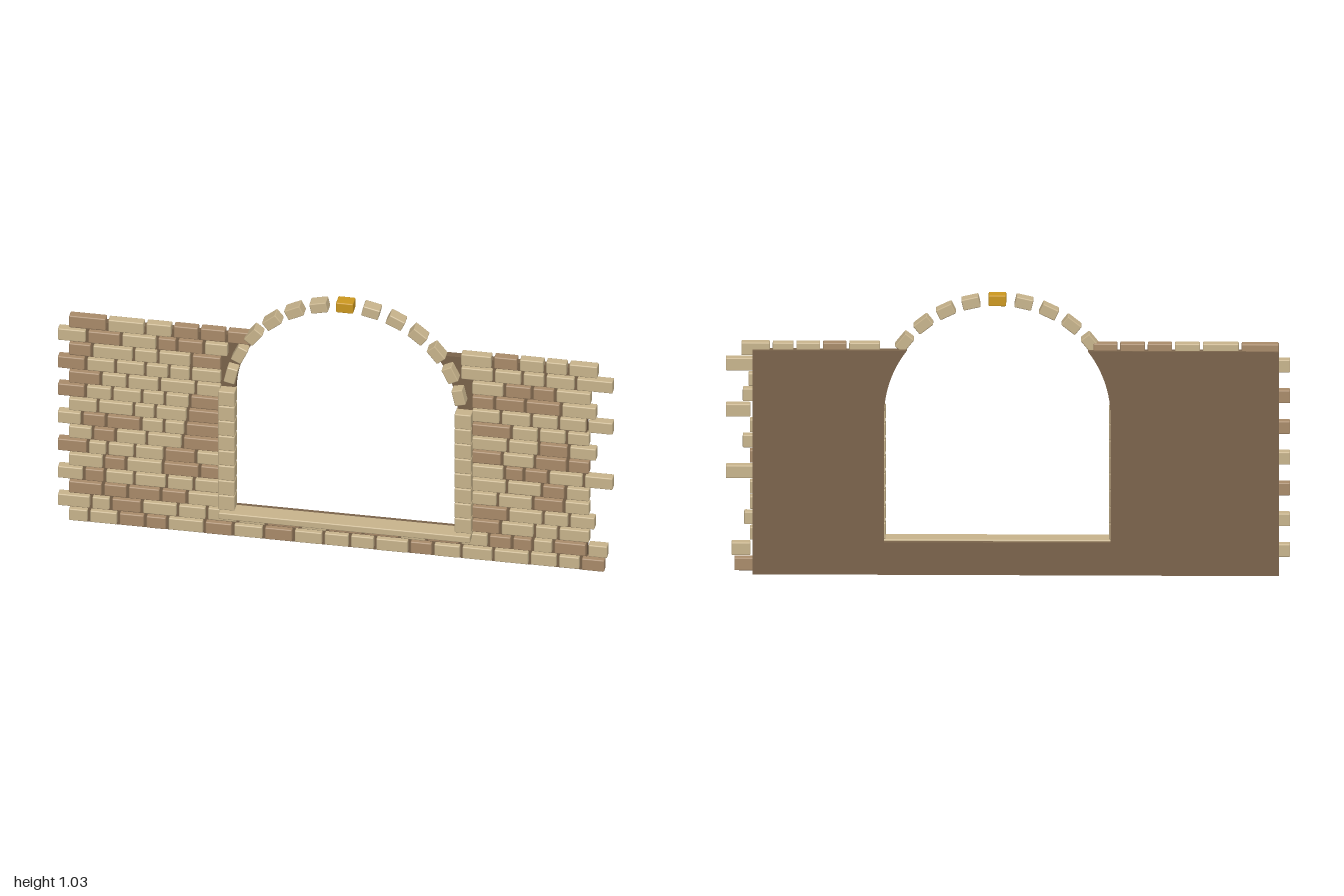
import * as THREE from 'three';
import { RoundedBoxGeometry } from 'three/addons/geometries/RoundedBoxGeometry.js';

const mat = (name, color) => {
  const m = new THREE.MeshStandardMaterial({ color });
  m.name = name;
  return m;
};

export function createModel() {
  const group = new THREE.Group();
  group.name = 'archedWall';
  const tan = mat('tanStone', 0xc8b48c);
  const brown = mat('brownStone', 0xa98b6a);
  const mortar = mat('mortar', 0x7a634b);
  const gold = mat('goldStone', 0xcc981f);

  // Seeded number generator
  let seed = 11;
  const rand = () => {
    seed = (seed * 16807) % 2147483647;
    return seed / 2147483647;
  };

  // Stone block with softened edges
  const block = (name, w, h, d, x, y, z, material, parent = group) => {
    const mesh = new THREE.Mesh(new RoundedBoxGeometry(w, h, d, 1, 0.004), material);
    mesh.name = name;
    mesh.position.set(x, y, z);
    parent.add(mesh);
    return mesh;
  };

  // Opening: centre line, springing height and radius
  const CX = 0.035, SPRING = 0.59, R = 0.4, SILL = 0.12;

  // Backing panel with the arched opening cut through its top edge
  const TOP = 0.83;
  const a = Math.asin((TOP - SPRING) / R);
  const dx = R * Math.cos(a);
  const s = new THREE.Shape();
  s.moveTo(-0.96, 0);
  s.lineTo(0.9, 0);
  s.lineTo(0.9, TOP);
  s.lineTo(CX + dx, TOP);
  s.absarc(CX, SPRING, R, a, 0, true);
  s.lineTo(CX + R, SILL);
  s.lineTo(CX - R, SILL);
  s.lineTo(CX - R, SPRING);
  s.absarc(CX, SPRING, R, Math.PI, Math.PI - a, true);
  s.lineTo(-0.96, TOP);
  const panel = new THREE.Mesh(
    new THREE.ExtrudeGeometry(s, { depth: 0.028, bevelEnabled: false, curveSegments: 16 }), mortar);
  panel.name = 'backingPanel';
  panel.position.z = -0.043;
  group.add(panel);

  // Brick courses with toothed ends
  const bricks = new THREE.Group();
  bricks.name = 'bricks';
  group.add(bricks);
  const layRun = (x0, x1, y) => {
    const count = Math.max(1, Math.round((x1 - x0) / 0.104));
    const weights = Array.from({ length: count }, () => 0.7 + 0.6 * rand());
    const total = weights.reduce((p, c) => p + c, 0);
    let x = x0;
    for (const k of weights) {
      const w = (k / total) * (x1 - x0);
      block('brick', w - 0.01, 0.047, 0.035, x + w / 2, y, -0.0135 + 0.003 * (rand() - 0.5),
        rand() < 0.38 ? brown : tan, bricks);
      x += w;
    }
  };
  const rightEnds = [0.965, 0.975, 0.91, 0.93, 0.91, 0.91, 0.995, 0.91,
    0.935, 0.91, 0.995, 0.935, 0.915, 0.995, 0.94];
  rightEnds.forEach((end, i) => {
    const y = 0.033 + 0.057 * i;
    const start = i % 2 ? -1.005 : -0.965;
    if (i < 2) {
      layRun(start, end + 0.005, y);
      return;
    }
    const innerLeft = i === 14 ? -0.3 : i === 13 ? -0.385 : -0.41;
    const innerRight = i === 14 ? 0.445 : i === 13 ? 0.445 : 0.485;
    layRun(start, innerLeft, y);
    layRun(innerRight, end + 0.005, y);
  });

  // Window sill
  block('sill', 0.905, 0.026, 0.07, 0.0375, 0.112, 0.01, tan);

  // Jamb stones on both sides
  for (const side of [-1, 1]) {
    for (let i = 0; i < 8; i++) {
      block('jambStone', 0.06, 0.059, 0.05, CX + side * 0.425, 0.156 + i * 0.0615, 0, tan);
    }
  }

  // Arch stones around a gold keystone
  for (let i = -6; i <= 6; i++) {
    const t = (i * Math.PI) / 14;
    const stone = block(i === 0 ? 'keystone' : 'archStone', 0.062, 0.04, 0.05,
      CX + 0.42 * Math.sin(t), SPRING + 0.42 * Math.cos(t), 0, i === 0 ? gold : tan);
    stone.rotation.z = -t;
  }
  return group;
}
